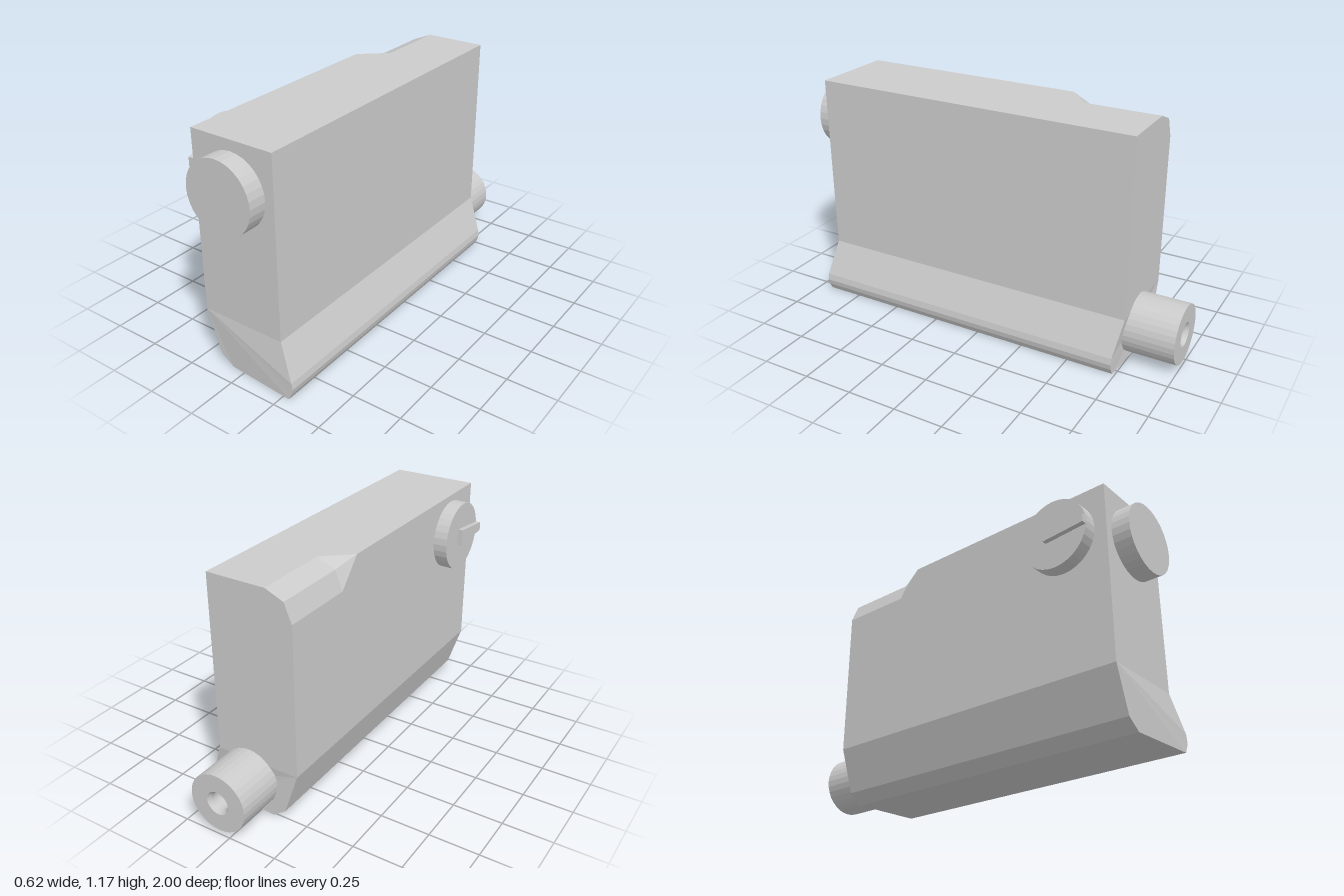
import * as THREE from 'three';

const material = new THREE.MeshStandardMaterial({ color: 0xcccccc, flatShading: true });

function addPart(group, name, geometry, x = 0, y = 0, z = 0) {
  const mesh = new THREE.Mesh(geometry, material);
  mesh.name = name;
  mesh.position.set(x, y, z);
  group.add(mesh);
}

// Cross-section of the case, counter-clockwise seen from the front.
// Points 1 to 3 form the upper edge that is bevelled towards the back.
function caseSection(z, bevelled) {
  const corner = [-0.213, 1.17];
  const edge = bevelled ? [[-0.08, 1.17], [-0.175, 1.13], [-0.213, 1.035]] : [corner, corner, corner];
  const points = [
    [0.228, 1.17], ...edge, [-0.213, 0.27], [-0.14, 0.05], [-0.07, 0],
    [0.283, 0], [0.3, 0.032], [0.306, 0.06], [0.301, 0.093], [0.228, 0.27],
  ];
  // The flared foot is pushed slightly forward
  return points.map(([x, y]) => new THREE.Vector3(x, y, z + (x > 0.25 ? 0.026 : 0)));
}

function caseGeometry() {
  const sections = [
    caseSection(0.908, false), caseSection(-0.26, false),
    caseSection(-0.38, true), caseSection(-0.762, true),
  ];
  const positions = [];
  const triangle = (a, b, c) => {
    const area = b.clone().sub(a).cross(c.clone().sub(a)).length();
    if (area > 1e-9) for (const p of [a, b, c]) positions.push(p.x, p.y, p.z);
  };
  // Long walls
  for (let s = 0; s < sections.length - 1; s++) {
    const front = sections[s], back = sections[s + 1];
    for (let i = 0; i < front.length; i++) {
      const j = (i + 1) % front.length;
      triangle(front[i], back[i], back[j]);
      triangle(front[i], back[j], front[j]);
    }
  }
  // End walls, each an upper and a lower panel
  const first = sections[0], last = sections[sections.length - 1];
  for (const panel of [[4, 11, 0, 1, 2, 3], [4, 5, 6, 7, 8, 9, 10, 11]]) {
    for (let i = 1; i < panel.length - 1; i++) {
      const [a, b, c] = [panel[0], panel[i], panel[i + 1]];
      triangle(first[a], first[b], first[c]);
      triangle(last[a], last[c], last[b]);
    }
  }
  const geometry = new THREE.BufferGeometry();
  geometry.setAttribute('position', new THREE.Float32BufferAttribute(positions, 3));
  geometry.computeVertexNormals();
  return geometry;
}

// Tapered bar for the knob, narrower towards the front
function gripGeometry() {
  const shape = new THREE.Shape([
    [-0.625, 0.925], [-0.625, 1.01], [-0.845, 0.985], [-0.845, 0.942],
  ].map(([x, y]) => new THREE.Vector2(x, y)));
  const geometry = new THREE.ExtrudeGeometry(shape, { depth: 0.04, bevelEnabled: false });
  // Shape x becomes -z, extrusion runs towards -x
  geometry.rotateY(Math.PI / 2);
  return geometry;
}

export function createModel() {
  const model = new THREE.Group();
  model.name = 'model';

  addPart(model, 'case', caseGeometry());

  // Round cap on the front
  const cap = new THREE.CylinderGeometry(0.177, 0.177, 0.12, 32).rotateX(Math.PI / 2);
  addPart(model, 'frontCap', cap, 0.005, 0.941, 0.94);

  // Turning knob on the side with its grip
  const knob = new THREE.CylinderGeometry(0.177, 0.177, 0.1, 32).rotateZ(Math.PI / 2);
  addPart(model, 'sideKnob', knob, -0.235, 0.96, 0.669);
  addPart(model, 'knobGrip', gripGeometry(), -0.31, 0, 0);

  // Hollow pipe at the back with a bevelled bore
  const profile = [[0, 0], [0.15, 0], [0.15, 0.28], [0.06, 0.28], [0.046, 0.262], [0.046, 0.08], [0, 0.08]]
    .map(([r, h]) => new THREE.Vector2(r, h));
  const pipe = new THREE.LatheGeometry(profile, 32).rotateX(-Math.PI / 2);
  addPart(model, 'backPipe', pipe, 0.055, 0.173, -0.72);

  return model;
}
